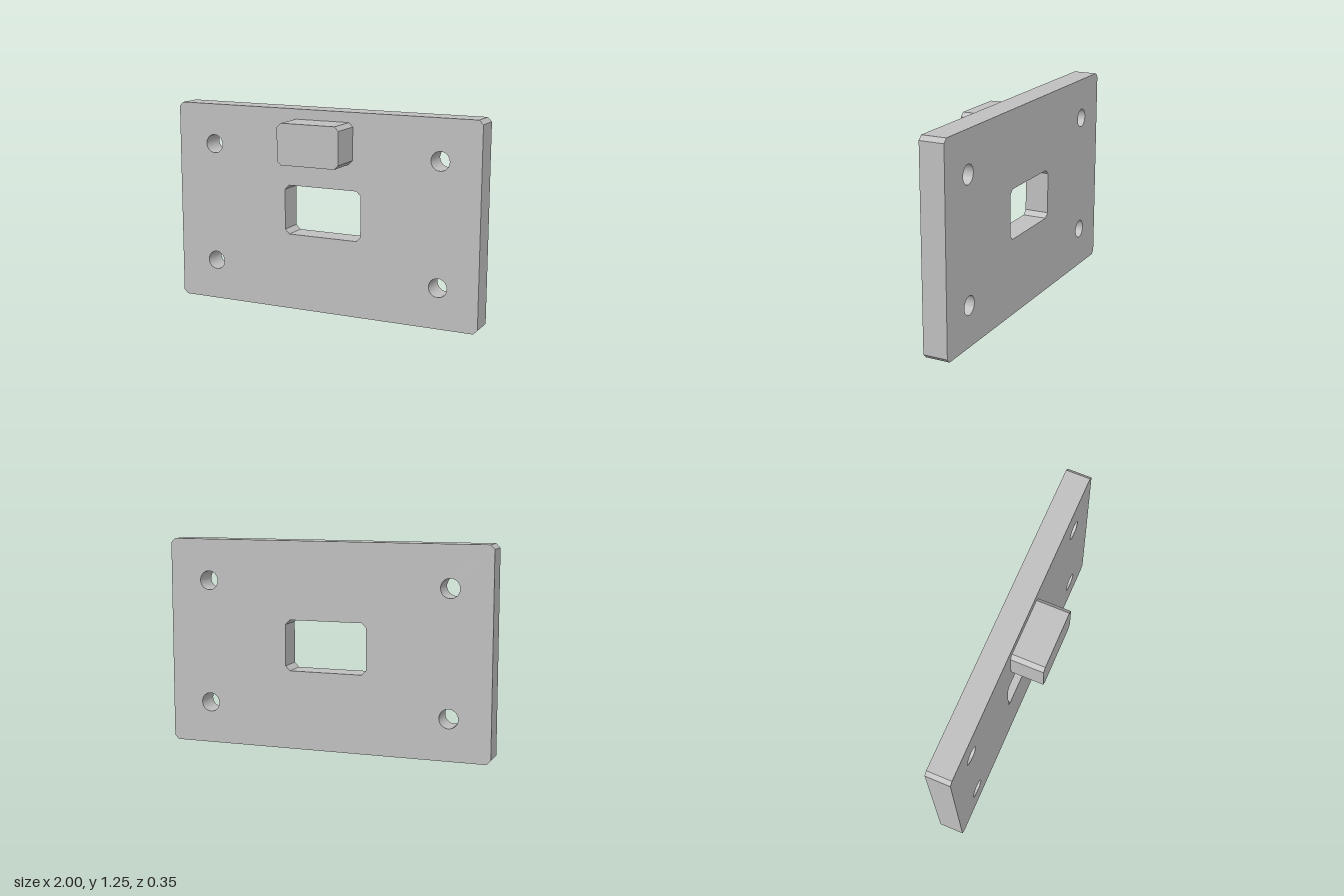
import * as THREE from 'three';
import { toCreasedNormals } from 'three/addons/utils/BufferGeometryUtils.js';

// Corner points of a rectangle with chamfered corners, centred on (0, cy)
function chamferedRect(width, height, cy, c) {
  const w = width / 2, h = height / 2;
  return [
    [-w + c, -h], [w - c, -h], [w, -h + c], [w, h - c],
    [w - c, h], [-w + c, h], [-w, h - c], [-w, -h + c],
  ].map(([x, y]) => new THREE.Vector2(x, y + cy));
}

function extrudePart(name, shape, depth, z, material) {
  const flat = new THREE.ExtrudeGeometry(shape, { depth, bevelEnabled: false, curveSegments: 48 });
  const mesh = new THREE.Mesh(toCreasedNormals(flat, Math.PI / 6), material);
  mesh.name = name;
  mesh.position.z = z;
  return mesh;
}

export function createModel() {
  const group = new THREE.Group();
  group.name = 'mountingPlate';
  const grey = new THREE.MeshStandardMaterial({ color: 0xbfbfbf });
  grey.name = 'light grey';

  // Plate with a central window and four screw holes
  const plate = new THREE.Shape(chamferedRect(2, 1.25, 0.625, 0.025));
  plate.holes.push(new THREE.Path(chamferedRect(0.506, 0.306, 0.627, 0.028)));
  for (const x of [-0.75, 0.75]) {
    for (const y of [0.25, 1]) {
      plate.holes.push(new THREE.Path().absarc(x, y, 0.057, 0, Math.PI * 2, true));
    }
  }
  group.add(extrudePart('plate', plate, 0.15, -0.175, grey));

  // Block standing out of the front above the window
  const block = new THREE.Shape(chamferedRect(0.4, 0.25, 1.063, 0.025));
  group.add(extrudePart('block', block, 0.2, -0.025, grey));

  return group;
}
